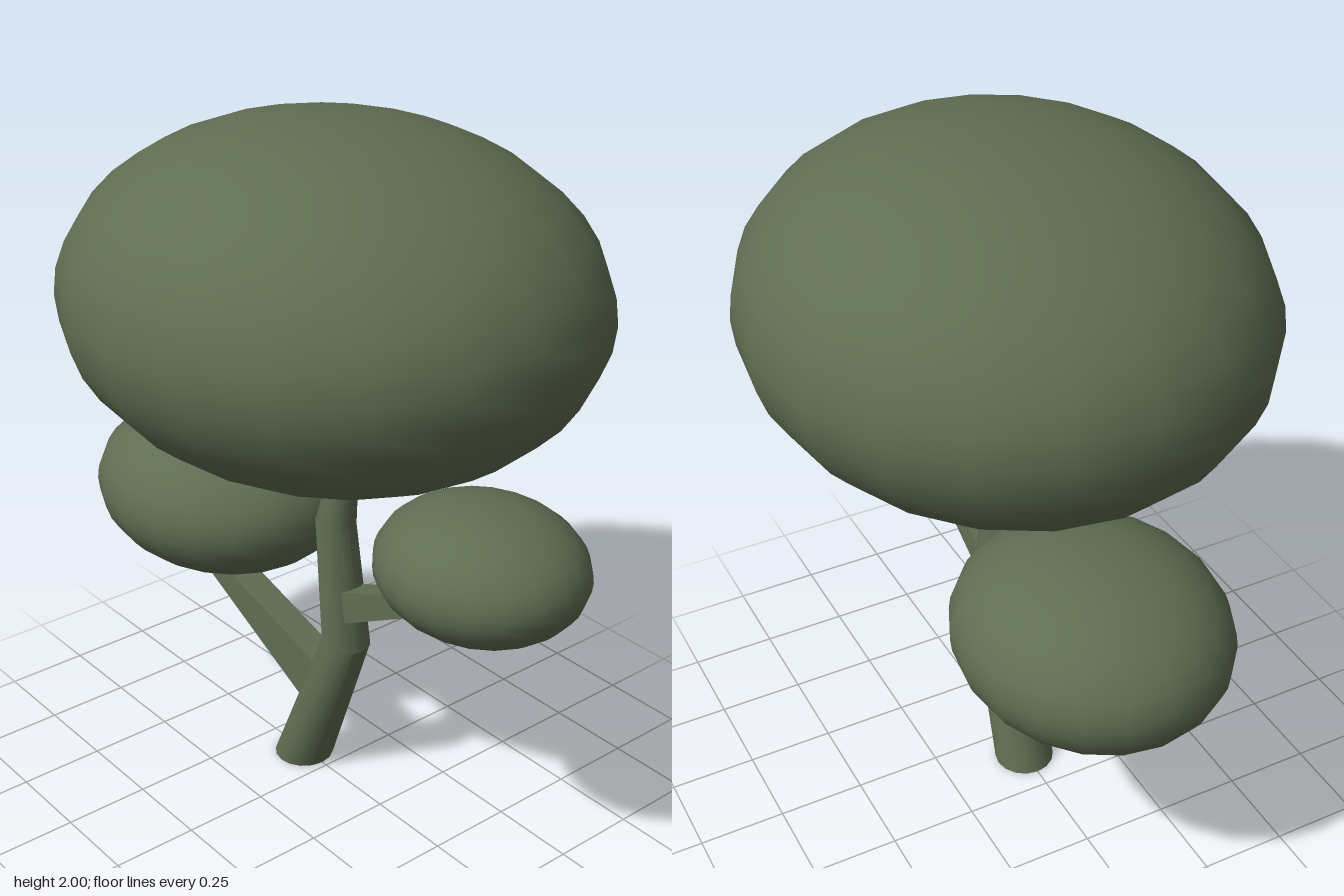
import * as THREE from 'three';
import { toCreasedNormals } from 'three/addons/utils/BufferGeometryUtils.js';

export function createModel() {
  const tree = new THREE.Group();
  tree.name = 'tree';
  const green = new THREE.MeshStandardMaterial({ color: 0x5f6d52 });
  green.name = 'olive green';

  const add = (name, geometry) => {
    const mesh = new THREE.Mesh(geometry, green);
    mesh.name = name;
    tree.add(mesh);
    return mesh;
  };

  // Foliage: flattened smooth spheres
  const foliage = (name, centre, radii) => {
    const mesh = add(name, new THREE.SphereGeometry(1, 20, 20));
    mesh.position.set(...centre);
    mesh.scale.set(...radii);
  };
  foliage('canopy', [0, 1.525, 0.022], [0.703, 0.475, 0.787]);
  foliage('frontFoliage', [0.025, 0.945, 0.6], [0.27, 0.18, 0.3]);
  foliage('backFoliage', [0, 0.79, -0.478], [0.372, 0.25, 0.417]);

  // Trunk: a cylinder whose rings follow a bent, tapering path
  // each ring: height, z centre, radius, slope of the ring along z
  const rings = [
    [1.2, 0.113, 0.022, 0],
    [0.855, 0.043, 0.058, -0.08],
    [0.485, 0.09, 0.07, -0.06],
    [0, -0.107, 0.088, 0],
  ];
  const trunk = new THREE.CylinderGeometry(1, 1, 3, 16, 3);
  const p = trunk.attributes.position;
  for (let i = 0; i < p.count; i++) {
    const [y, z, r, slope] = rings[Math.round(1.5 - p.getY(i))];
    const dz = p.getZ(i) * r;
    p.setXYZ(i, p.getX(i) * r, y + slope * dz, z + dz);
  }
  add('trunk', toCreasedNormals(trunk, 0.45));

  // Branches: four-sided beams through sections of
  // [half width, upper z, upper y, lower z, lower y]
  const branch = (name, sections) => {
    const n = sections.length - 1;
    const geometry = new THREE.BoxGeometry(2, 2, n, 1, 1, n);
    const q = geometry.attributes.position;
    for (let i = 0; i < q.count; i++) {
      const [w, uz, uy, lz, ly] = sections[Math.round(q.getZ(i) + n / 2)];
      const upper = q.getY(i) > 0;
      q.setXYZ(i, q.getX(i) * w, upper ? uy : ly, upper ? uz : lz);
    }
    // Backward beams run against z, so their faces are turned over
    if (sections[n][1] < sections[0][1]) {
      const index = geometry.index;
      for (let i = 0; i < index.count; i += 3) {
        const a = index.getX(i);
        index.setX(i, index.getX(i + 1));
        index.setX(i + 1, a);
      }
    }
    const flat = geometry.toNonIndexed();
    flat.computeVertexNormals();
    add(name, flat);
  };
  branch('frontBranch', [
    [0.04, 0.08, 0.655, 0.08, 0.55],
    [0.04, 0.4, 0.79, 0.51, 0.78],
    [0.035, 0.38, 0.83, 0.45, 0.83],
  ]);
  branch('backBranch', [
    [0.045, 0.03, 0.375, -0.03, 0.22],
    [0.045, -0.42, 0.51, -0.57, 0.495],
    [0.04, -0.34, 0.57, -0.43, 0.57],
  ]);

  return tree;
}
